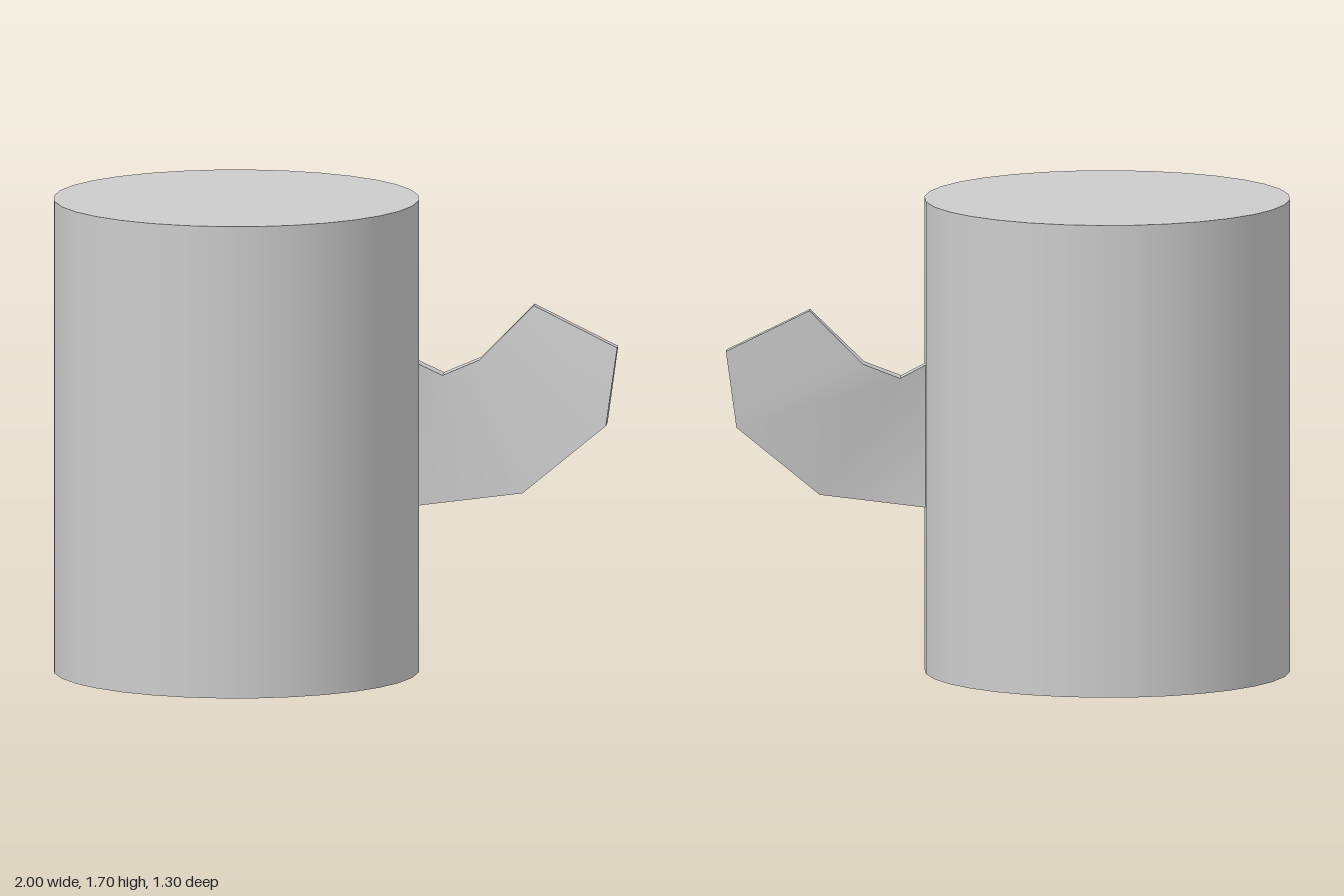
import * as THREE from 'three';
import { toCreasedNormals } from 'three/addons/utils/BufferGeometryUtils.js';

// Skin a row of four-cornered cross-sections and close both ends.
function loft(sections) {
  const pos = [];
  const quad = (a, b, c, d) => [a, b, c, a, c, d].forEach((p) => pos.push(...p));
  for (let i = 0; i < sections.length - 1; i++) {
    const s = sections[i], t = sections[i + 1];
    for (let j = 0; j < 4; j++) {
      const k = (j + 1) % 4;
      quad(s[j], t[j], t[k], s[k]);
    }
  }
  const first = sections[0], last = sections[sections.length - 1];
  quad(...first);
  quad(last[3], last[2], last[1], last[0]);
  const geometry = new THREE.BufferGeometry();
  geometry.setAttribute('position', new THREE.Float32BufferAttribute(pos, 3));
  geometry.computeVertexNormals();
  return toCreasedNormals(geometry, Math.PI / 6);
}

export function createModel() {
  const group = new THREE.Group();
  const grey = new THREE.MeshStandardMaterial({ color: 0xcccccc });
  grey.name = 'light grey';

  // Solid drum
  const height = 1.695;
  const body = new THREE.Mesh(new THREE.CylinderGeometry(0.65, 0.65, height, 32), grey);
  body.name = 'body';
  body.position.set(-0.35, height / 2, 0);
  group.add(body);

  // Curved side fin: bottom and top edge points, each with front and back z
  const rows = [
    { bottom: [0.285, 0.593, -0.03, -0.1], top: [0.285, 1.108, -0.03, -0.1] },
    { bottom: [0.665, 0.64, -0.05, -0.125], top: [0.38, 1.06, -0.048, -0.125] },
    { bottom: [0.96, 0.882, -0.072, -0.147], top: [0.51, 1.113, -0.075, -0.146] },
    { bottom: [0.997, 1.157, -0.112, -0.158], top: [0.7, 1.305, -0.112, -0.158] },
  ];
  const sections = rows.map(({ bottom: b, top: t }) => [
    [b[0], b[1], b[2]],
    [t[0], t[1], t[2]],
    [t[0], t[1], t[3]],
    [b[0], b[1], b[3]],
  ]);
  const fin = new THREE.Mesh(loft(sections), grey);
  fin.name = 'sideFin';
  group.add(fin);

  return group;
}
